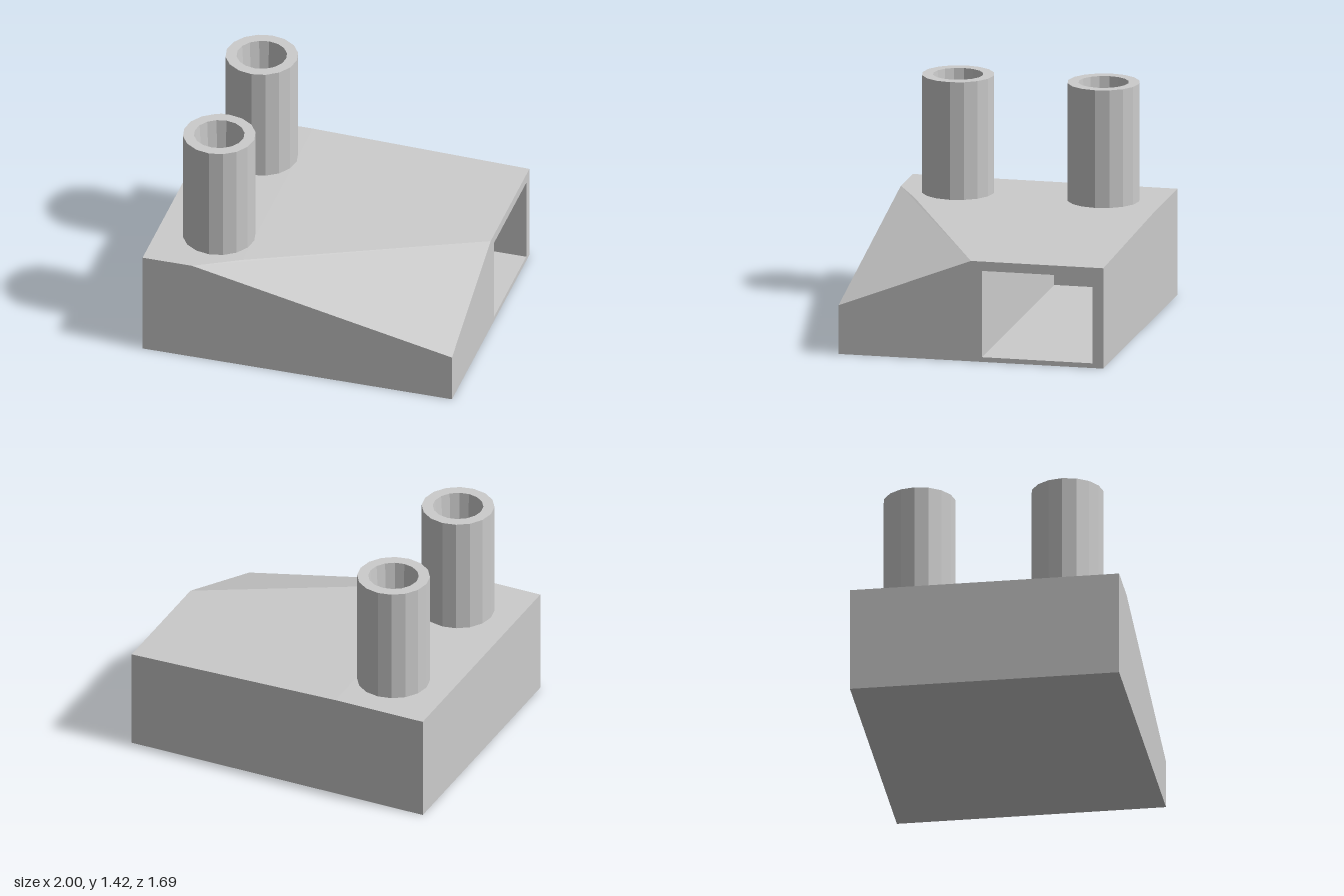
import * as THREE from 'three';

const material = new THREE.MeshStandardMaterial({ color: 0xcccccc, flatShading: true });

// Flat polygons (corners counter-clockwise from outside) fanned into triangles
function facesGeometry(faces) {
  const positions = [];
  for (const face of faces) {
    for (let i = 1; i < face.length - 1; i++) {
      positions.push(...face[0], ...face[i], ...face[i + 1]);
    }
  }
  const geometry = new THREE.BufferGeometry();
  geometry.setAttribute('position', new THREE.Float32BufferAttribute(positions, 3));
  geometry.computeVertexNormals();
  return geometry;
}

function addMesh(parent, name, geometry) {
  const mesh = new THREE.Mesh(geometry, material);
  mesh.name = name;
  parent.add(mesh);
  return mesh;
}

export function createModel() {
  const group = new THREE.Group();
  const Z = 0.843, H = 0.675, B = 0.64, C = 0.31; // half depth, top, end and cut-corner heights

  // Housing: block with a gently falling top and one sloped corner
  const cutFront = [-0.68, H, Z], cutBend = [-0.4, H, 0.69], cutEnd = [1, B, 0], cutLow = [1, C, Z];
  const bendBack = [-0.4, H, -Z];
  addMesh(group, 'housing', facesGeometry([
    [[-1, 0, -Z], [-1, 0, Z], [-1, H, Z], [-1, H, -Z]],
    [[-1, 0, Z], [1, 0, Z], cutLow, cutFront, [-1, H, Z]],
    [[1, 0, -Z], [-1, 0, -Z], [-1, H, -Z], bendBack, [1, B, -Z]],
    [[-1, 0, -Z], [1, 0, -Z], [1, 0, Z], [-1, 0, Z]],
    [[-1, H, -Z], [-1, H, Z], cutFront, cutBend, bendBack],
    [bendBack, cutBend, cutEnd, [1, B, -Z]],
    [cutFront, cutLow, cutEnd, cutBend],
  ]));

  // Open end: outline with the rectangular port (shape x runs along -z)
  const z0 = -0.775, z1 = -0.07, y0 = 0.03, y1 = 0.58;
  const points = (list) => list.map(([x, y]) => new THREE.Vector2(x, y));
  const outline = new THREE.Shape(points([[-Z, 0], [Z, 0], [Z, B], [0, B], [-Z, C]]));
  outline.holes.push(new THREE.Path(points([[-z1, y0], [-z1, y1], [-z0, y1], [-z0, y0]])));
  const end = addMesh(group, 'portEnd', new THREE.ShapeGeometry(outline));
  end.rotation.y = Math.PI / 2;
  end.position.x = 1;

  // Duct: inner walls behind the port
  const back = -0.95;
  const ring = [[y0, z0], [y0, z1], [y1, z1], [y1, z0]];
  const walls = ring.map(([ya, za], i) => {
    const [yb, zb] = ring[(i + 1) % 4];
    return [[back, ya, za], [back, yb, zb], [1, yb, zb], [1, ya, za]];
  });
  walls.push(ring.map(([y, z]) => [back, y, z]).reverse());
  addMesh(group, 'duct', facesGeometry(walls));

  // Two upright tubes with tapered bores
  const profile = points([[0.226, 0.62], [0.226, 1.425], [0.157, 1.425], [0.107, 0.64], [0, 0.64]]);
  for (const side of [-1, 1]) {
    const tube = addMesh(group, side > 0 ? 'frontTube' : 'backTube', new THREE.LatheGeometry(profile, 16));
    tube.position.set(-0.617, 0, side * 0.463);
  }
  return group;
}
